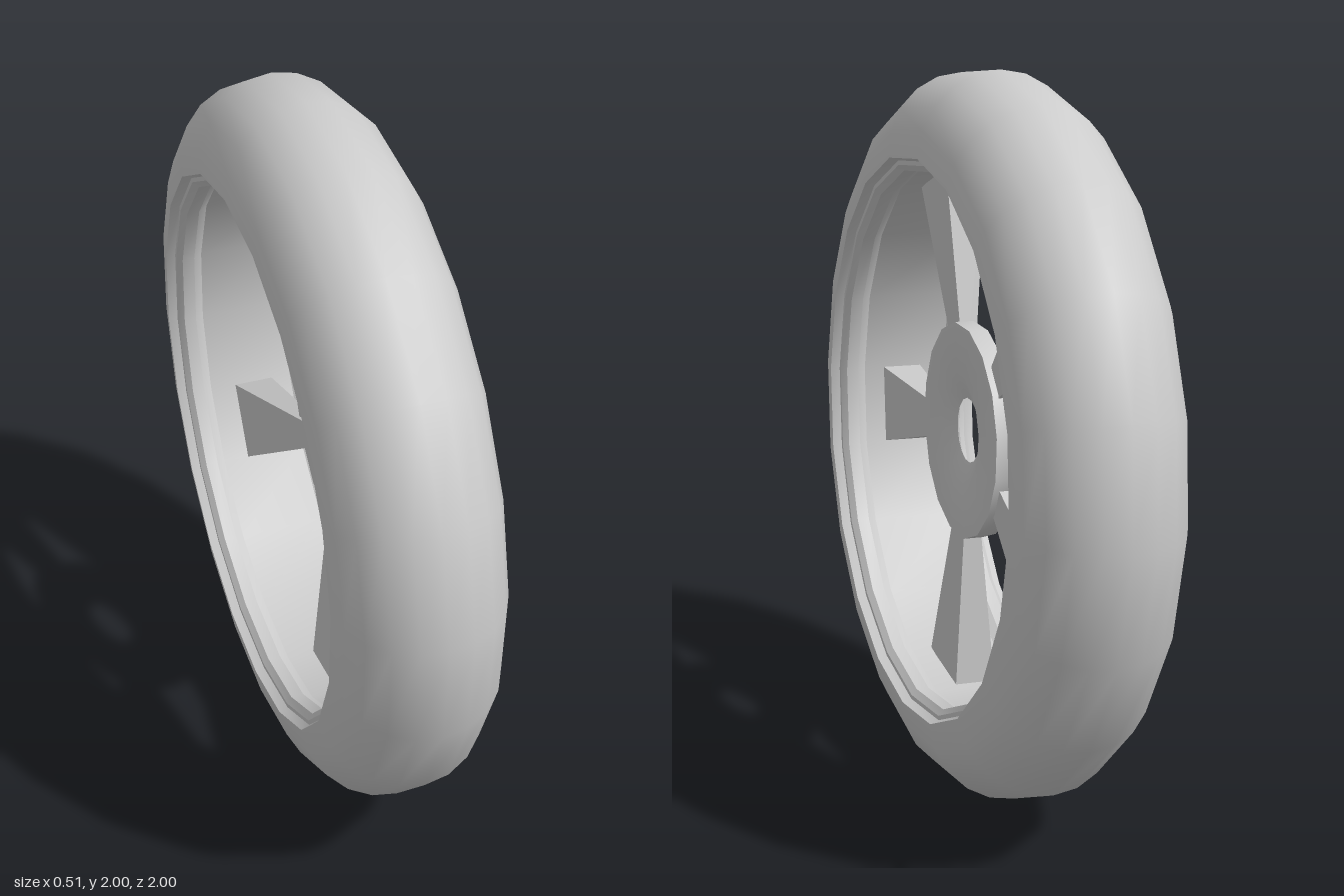
import * as THREE from 'three';
import { toCreasedNormals } from 'three/addons/utils/BufferGeometryUtils.js';

const material = new THREE.MeshStandardMaterial({ color: 0xcccccc, side: THREE.DoubleSide });
const HUB = new THREE.Vector3(0.04, 0.005, 0.045);

// Revolve [radius, axial] points around the x axis
function revolve(points, sides, turn, crease) {
  const g = new THREE.LatheGeometry(points.map(([r, a]) => new THREE.Vector2(r, a)), sides);
  g.rotateZ(-Math.PI / 2);
  g.rotateX(turn);
  return toCreasedNormals(g, crease);
}

function part(name, geometry, mat = material) {
  const mesh = new THREE.Mesh(geometry, mat);
  mesh.name = name;
  return mesh;
}

// Tapered spoke: narrow and thin at the hub, wide and thick at the rim
function spokeGeometry(angle) {
  const g = new THREE.BoxGeometry(1, 1, 1);
  const outer = new THREE.Vector3(0, Math.sin(angle), -Math.cos(angle)).multiplyScalar(0.735);
  const dir = outer.clone().sub(HUB).setX(0).normalize();
  const inner = HUB.clone().setX(0).addScaledVector(dir, 0.15);
  const side = new THREE.Vector3(0, -dir.z, dir.y);
  const p = g.attributes.position;
  const v = new THREE.Vector3();
  for (let i = 0; i < p.count; i++) {
    const t = p.getY(i) + 0.5;
    v.lerpVectors(inner, outer, t);
    v.addScaledVector(side, p.getZ(i) * THREE.MathUtils.lerp(0.055, 0.225, t));
    v.x = p.getX(i) > 0 ? THREE.MathUtils.lerp(0.045, 0.065, t) : THREE.MathUtils.lerp(0.015, -0.05, t);
    p.setXYZ(i, v.x, v.y, v.z);
  }
  g.computeVertexNormals();
  return g;
}

export function createModel() {
  const model = new THREE.Group();
  model.name = 'wheel';
  const wheel = new THREE.Group();
  wheel.name = 'tiltedWheel';
  wheel.position.y = 1.003;
  wheel.rotation.set(0, 0.03, 0.03);
  model.add(wheel);

  // Rounded tyre
  const tyre = [];
  for (let i = 0; i <= 10; i++) {
    const a = -Math.PI / 2 + (Math.PI * i) / 10;
    tyre.push([0.77 + 0.23 * Math.cos(a), 0.225 * Math.sin(a)]);
  }
  wheel.add(part('tyre', revolve(tyre, 20, -0.021, 1)));

  // Stepped rim with a slightly recessed barrel
  const half = [[0.77, 0.225], [0.762, 0.2], [0.75, 0.2], [0.734, 0.185], [0.734, 0.15], [0.748, 0.125]];
  const rim = [...half, ...half.slice().reverse().map(([r, a]) => [r, -a])];
  wheel.add(part('rim', revolve(rim, 20, -0.021, 0.5)));

  // Hub disc with a hole that narrows to a waist
  const hub = [
    [0.09, 0], [0.157, -0.027], [0.3, -0.027],
    [0.3, 0.027], [0.157, 0.027], [0.09, 0],
  ];
  const hubMesh = part('hub', revolve(hub, 16, Math.PI / 16, 0.5));
  hubMesh.position.copy(HUB);
  wheel.add(hubMesh);

  // Five spokes
  const spokeMaterial = material.clone();
  spokeMaterial.flatShading = true;
  for (let i = 0; i < 5; i++) {
    const angle = THREE.MathUtils.degToRad(187.5 + 72 * i);
    wheel.add(part('spoke', spokeGeometry(angle), spokeMaterial));
  }
  return model;
}
